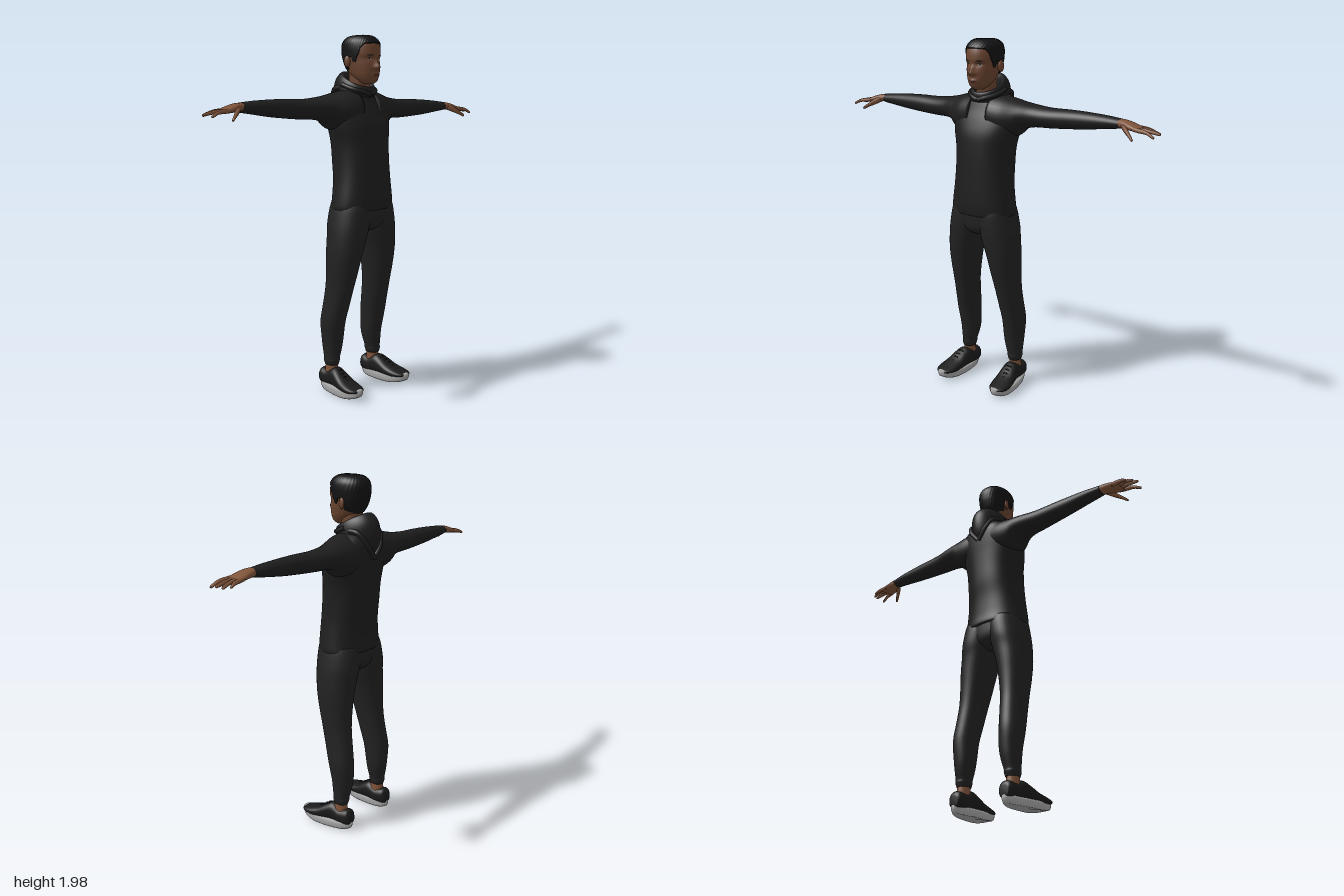
import * as THREE from 'three';

const mat = (name, color, side = THREE.FrontSide) => {
  const m = new THREE.MeshStandardMaterial({ color, side });
  m.name = name;
  return m;
};

// Catmull-Rom sample of a table of rows; t is measured in rows
function sample(rows, t) {
  const n = rows.length - 1, i = Math.min(Math.max(Math.floor(t), 0), n - 1), f = t - i;
  const r = (k) => rows[Math.min(Math.max(k, 0), n)];
  return rows[i].map((p1, c) => {
    const p0 = r(i - 1)[c], p2 = r(i + 1)[c], p3 = r(i + 2)[c];
    return p1 + 0.5 * f * (p2 - p0 + f * (2 * p0 - 5 * p1 + 4 * p2 - p3 + f * (3 * (p1 - p2) + p3 - p0)));
  });
}

// Skin closed rings of points [x, y, z] into one smooth surface
function skinRings(rings, cap = true) {
  const n = rings[0].length, pos = rings.flat(2), index = [];
  for (let i = 0; i < rings.length - 1; i++)
    for (let j = 0; j < n; j++) {
      const a = i * n + j, b = i * n + (j + 1) % n;
      index.push(a, b, b + n, a, b + n, a + n);
    }
  if (cap) [0, rings.length - 1].forEach((r) => {
    const c = pos.length / 3, ring = rings[r];
    for (let k = 0; k < 3; k++) pos.push(ring.reduce((s, p) => s + p[k], 0) / n);
    for (let j = 0; j < n; j++) {
      const a = r * n + j, b = r * n + (j + 1) % n;
      if (r) index.push(a, b, c); else index.push(b, a, c);
    }
  });
  const g = new THREE.BufferGeometry();
  g.setAttribute('position', new THREE.Float32BufferAttribute(pos, 3));
  g.setIndex(index);
  g.computeVertexNormals();
  return g;
}

const power = (v, p) => Math.sign(v) * Math.abs(v) ** p;

// Loft rounded sections along an axis.
// Rows: x [x, top, bottom, front, back], y [y, x0, x1, front, back], z [z, x0, x1, top, bottom]
function loft(axis, rows, { seg = 32, steps = 4, p = 0.9 } = {}) {
  const rings = [], count = (rows.length - 1) * steps;
  for (let i = 0; i <= count; i++) {
    const [v, a0, a1, b0, b1] = sample(rows, i / steps), ring = [];
    const ca = (a0 + a1) / 2, ra = Math.abs(a1 - a0) / 2, cb = (b0 + b1) / 2, rb = Math.abs(b0 - b1) / 2;
    for (let j = 0; j < seg; j++) {
      const t = (j / seg) * Math.PI * 2, s = power(Math.sin(t), p), c = power(Math.cos(t), p);
      if (axis === 'x') ring.push([v, ca + ra * c, cb + rb * s]);
      else if (axis === 'y') ring.push([ca + ra * s, v, cb + rb * c]);
      else ring.push([ca - ra * s, cb + rb * c, v]);
    }
    rings.push(ring);
  }
  return skinRings(rings);
}

// Tapering digit along x through points [x, y, z, radius]
const digit = (pts) => loft('x', pts.map(([x, y, z, r]) => [x, y + r, y - r, z + r, z - r]), { seg: 12, p: 1 });

function mirrored(g) {
  const m = g.clone().scale(-1, 1, 1), ix = m.index;
  for (let i = 0; i < ix.count; i += 3) {
    const a = ix.getX(i);
    ix.setX(i, ix.getX(i + 1));
    ix.setX(i + 1, a);
  }
  return m;
}

// Head sections: y, half width, front z, back z
const HEAD = [
  [1.718, 0.025, 0.082, 0.02], [1.735, 0.048, 0.1, 0], [1.76, 0.064, 0.108, -0.04],
  [1.785, 0.073, 0.112, -0.07], [1.815, 0.08, 0.112, -0.092], [1.85, 0.085, 0.108, -0.106],
  [1.875, 0.087, 0.114, -0.112], [1.91, 0.088, 0.111, -0.114], [1.94, 0.083, 0.1, -0.106],
  [1.962, 0.067, 0.078, -0.086], [1.974, 0.043, 0.05, -0.056], [1.979, 0, 0, -0.004],
];
const bell = (v, w) => Math.exp(-((v / w) ** 2));

function headPoint(a, t, grow = 0) {
  const [y, hx, zf, zb] = sample(HEAD, t), c = Math.cos(a);
  const x = (Math.max(hx, 0) + grow) * power(Math.sin(a), 0.85);
  let z = (zf + zb) / 2 + ((zf - zb) / 2 + grow) * c;
  if (c > 0) {
    const d = y - 1.805, noseUp = d > 0 ? bell(d, 0.035) : bell(d, 0.011);
    z += 0.028 * noseUp * bell(x, 0.012 + 0.006 * bell(d, 0.012));
    z += 0.008 * bell(y - 1.765, 0.011) * bell(x, 0.026);
    z -= 0.007 * bell(y - 1.852, 0.012) * bell(Math.abs(x) - 0.036, 0.018);
  }
  return [x, y + grow * t / 11, z];
}

// Thin rounded patch lying on the face
function facePatch(a0, t0, wa, wt, lift = 0.0015) {
  const rings = [1, 0.66, 0.33, 0].map((s) => Array.from({ length: 20 }, (_, j) => {
    const q = (j / 20) * Math.PI * 2;
    const [x, y, z] = headPoint(a0 + wa * s * Math.cos(q), t0 + wt * s * Math.sin(q));
    return [x, y, z + lift];
  }));
  return skinRings(rings, false);
}

export function createModel() {
  const model = new THREE.Group();
  const face = mat('face skin', 0x6b4530), hand = mat('hand skin', 0x80543a), hair = mat('hair', 0x131315);
  const top = mat('sweatshirt black', 0x1e1e1f, THREE.DoubleSide), pants = mat('trouser black', 0x222223);
  const shoe = mat('shoe black', 0x1b1b1c), sole = mat('sole grey', 0xa6a6a6);
  const lip = mat('lips', 0x5a3229), white = mat('eye white', 0x8c8078), dark = mat('iris', 0x140d0a);
  const add = (name, g, m) => {
    const mesh = new THREE.Mesh(g, m);
    mesh.name = name;
    model.add(mesh);
  };
  const pair = (name, g, m) => {
    add(name + 'Left', g, m);
    add(name + 'Right', mirrored(g), m);
  };

  // Head and neck
  const N = 112, angles = Array.from({ length: N }, (_, j) => (j / N) * Math.PI * 2);
  add('head', skinRings(Array.from({ length: 89 }, (_, i) => angles.map((a) => headPoint(a, i / 8)))), face);
  add('neck', loft('y', [[1.62, -0.06, 0.06, 0.03, -0.09], [1.7, -0.054, 0.054, 0.04, -0.075],
    [1.76, -0.055, 0.055, 0.04, -0.07], [1.81, -0.055, 0.055, 0.03, -0.07]]), face);
  pair('ear', new THREE.SphereGeometry(1, 16, 12).scale(0.011, 0.031, 0.019)
    .rotateY(-0.35).translate(0.091, 1.838, -0.018), face);

  // Cropped hair, cut along a hairline of [angle, head row]
  const LINE = [[0, 7.75], [0.7, 7.6], [0.95, 6.9], [1.18, 5.2], [1.25, 4.5], [1.4, 4.5],
    [1.5, 5.5], [1.78, 5.3], [1.95, 3.5], [3.15, 2.7]];
  const hairline = (a) => {
    const q = Math.min(a, Math.PI * 2 - a), k = LINE.findIndex((l) => l[0] >= q) || 1;
    const [a0, t0] = LINE[k - 1], [a1, t1] = LINE[k];
    return t0 + (t1 - t0) * (q - a0) / (a1 - a0);
  };
  add('hair', skinRings(Array.from({ length: 41 }, (_, i) => angles.map((a, j) => {
    const s = Math.max(i - 1, 0) / 39, t = hairline(a) * (1 - s) + 11 * s;
    const curl = 0.001 * Math.sin(j * 1.9 + i * 0.7) * Math.sin(i * 1.3);
    return headPoint(a, t, i ? (0.0045 + curl) * (1 - s ** 8) : -0.001);
  })), false), hair);

  // Facial details
  pair('eyeWhite', facePatch(0.385, 5.02, 0.13, 0.13), white);
  pair('iris', facePatch(0.385, 5.02, 0.055, 0.13, 0.0025), dark);
  pair('eyelid', facePatch(0.385, 5.17, 0.16, 0.07, 0.003), hair);
  pair('eyebrow', facePatch(0.39, 5.8, 0.2, 0.14), hair);
  add('upperLip', facePatch(0, 2.36, 0.25, 0.14), lip);
  add('lowerLip', facePatch(0, 2.06, 0.22, 0.17), lip);
  add('mouthLine', facePatch(0, 2.23, 0.25, 0.03, 0.003), dark);

  // Sweatshirt body with hem
  const body = [[1.035, 0.18, 0.13, -0.125], [1.045, 0.19, 0.138, -0.133], [1.1, 0.184, 0.141, -0.128],
    [1.2, 0.171, 0.137, -0.13], [1.3, 0.166, 0.132, -0.143], [1.4, 0.17, 0.125, -0.15],
    [1.48, 0.188, 0.115, -0.156], [1.55, 0.2, 0.092, -0.163], [1.61, 0.185, 0.066, -0.167],
    [1.65, 0.155, 0.05, -0.16], [1.68, 0.11, 0.035, -0.14], [1.695, 0.07, 0.02, -0.11]];
  add('sweatshirtBody', loft('y', body.map(([y, h, f, b]) => [y, -h, h, f, b]), { seg: 56, p: 0.88 }), top);
  pair('sleeve', loft('x', [[0.06, 1.69, 1.47, 0.085, -0.155], [0.13, 1.68, 1.46, 0.075, -0.16],
    [0.19, 1.665, 1.475, 0.05, -0.157], [0.23, 1.655, 1.512, 0.03, -0.152], [0.29, 1.645, 1.527, 0.008, -0.145],
    [0.38, 1.637, 1.53, -0.005, -0.132], [0.5, 1.637, 1.538, -0.015, -0.122], [0.6, 1.634, 1.547, -0.022, -0.115],
    [0.7, 1.628, 1.56, -0.027, -0.108], [0.77, 1.621, 1.569, -0.03, -0.1], [0.788, 1.618, 1.573, -0.032, -0.099]],
  { p: 1 }), top);

  // Lowered hood: half width, front z, back z, front y, back y
  const hood = [[0.1, 0.05, -0.15, 1.645, 1.55], [0.112, 0.066, -0.18, 1.66, 1.62], [0.112, 0.07, -0.187, 1.675, 1.69],
    [0.106, 0.068, -0.172, 1.695, 1.75], [0.092, 0.058, -0.128, 1.702, 1.79], [0.07, 0.045, -0.1, 1.688, 1.765],
    [0.056, 0.03, -0.08, 1.65, 1.68]];
  add('hood', skinRings(Array.from({ length: 25 }, (_, i) => {
    const [h, zf, zb, yf, yb] = sample(hood, i / 4);
    return Array.from({ length: 48 }, (_, j) => {
      const a = (j / 48) * Math.PI * 2, f = (1 + Math.cos(a)) / 2;
      return [h * Math.sin(a) * (0.82 + 0.18 * f), yb + (yf - yb) * f, zb + (zf - zb) * f];
    });
  }), false), top);
  const v3 = (...p) => new THREE.Vector3(...p);
  pair('hoodFold', new THREE.TubeGeometry(new THREE.CatmullRomCurve3([v3(0.09, 1.7, -0.07), v3(0.085, 1.69, -0.125),
    v3(0.05, 1.62, -0.165), v3(0, 1.555, -0.165)]), 24, 0.014, 10), top);
  pair('collarFold', new THREE.TubeGeometry(new THREE.CatmullRomCurve3([v3(0.1, 1.715, -0.05), v3(0.085, 1.69, 0.02),
    v3(0.04, 1.675, 0.06), v3(0, 1.662, 0.068)]), 20, 0.012, 10), top);

  // Hands
  pair('palm', loft('x', [[0.76, 1.617, 1.577, -0.035, -0.095], [0.8, 1.618, 1.575, -0.026, -0.096],
    [0.84, 1.609, 1.57, -0.014, -0.1], [0.875, 1.597, 1.567, -0.009, -0.101], [0.9, 1.587, 1.567, -0.013, -0.098]],
  { seg: 20, p: 0.85 }), hand);
  const fingers = [[-0.09, 0.957, -0.103, 1.562], [-0.067, 0.986, -0.082, 1.56],
    [-0.043, 0.998, -0.052, 1.564], [-0.021, 0.988, -0.004, 1.555]];
  fingers.forEach(([z, tx, tz, ty], k) => pair('finger' + (k + 1), digit([[0.865, 1.582, z, 0.011],
    [0.9, 1.578, z + (tz - z) * 0.3, 0.0115], [(0.9 + tx) / 2, 1.573, z + (tz - z) * 0.65, 0.0095],
    [tx - 0.008, ty + 0.001, tz, 0.0075], [tx, ty, tz, 0.003]]), hand));
  pair('thumb', digit([[0.8, 1.59, -0.042, 0.016], [0.83, 1.575, -0.018, 0.017], [0.86, 1.556, 0.006, 0.012],
    [0.882, 1.54, 0.021, 0.009], [0.89, 1.535, 0.025, 0.004]]), hand);

  // Trousers
  add('trouserSeat', loft('y', [[0.905, -0.04, 0.04, 0.04, -0.06], [0.93, -0.1, 0.1, 0.095, -0.095],
    [0.97, -0.165, 0.165, 0.122, -0.118], [1.07, -0.182, 0.182, 0.13, -0.122]]), pants);
  pair('trouserLeg', loft('y', [[0.15, 0.131, 0.2, -0.032, -0.113], [0.175, 0.125, 0.206, -0.025, -0.12],
    [0.19, 0.124, 0.205, -0.026, -0.119], [0.24, 0.11, 0.208, -0.019, -0.13], [0.3, 0.1, 0.213, -0.012, -0.138],
    [0.4, 0.098, 0.222, 0.008, -0.142], [0.5, 0.09, 0.216, 0.035, -0.128], [0.6, 0.08, 0.212, 0.061, -0.114],
    [0.7, 0.063, 0.215, 0.086, -0.111], [0.8, 0.043, 0.217, 0.106, -0.114], [0.88, 0.019, 0.212, 0.118, -0.118],
    [0.95, 0.002, 0.204, 0.125, -0.127], [1.03, -0.015, 0.19, 0.126, -0.124], [1.07, -0.01, 0.18, 0.12, -0.115]]), pants);
  pair('ankle', loft('y', [[0.08, 0.13, 0.205, -0.025, -0.115], [0.13, 0.134, 0.2, -0.034, -0.11],
    [0.18, 0.136, 0.196, -0.04, -0.105]], { p: 1 }), hand);

  // Shoes with grey soles and laces
  pair('shoeUpper', loft('z', [[-0.148, 0.14, 0.196, 0.095, 0.04], [-0.13, 0.127, 0.209, 0.122, 0.03],
    [-0.08, 0.122, 0.214, 0.118, 0.03], [-0.03, 0.123, 0.217, 0.14, 0.03], [0.01, 0.124, 0.227, 0.126, 0.03],
    [0.06, 0.125, 0.239, 0.097, 0.03], [0.11, 0.13, 0.246, 0.08, 0.032], [0.15, 0.142, 0.24, 0.069, 0.04],
    [0.172, 0.158, 0.224, 0.063, 0.045], [0.18, 0.175, 0.207, 0.058, 0.048]], { p: 0.85 }), shoe);
  const soleRings = [[0, 0.88], [0.004, 0.95], [0.018, 1], [0.034, 1], [0.044, 0.96]].map(([y, s]) =>
    Array.from({ length: 40 }, (_, j) => {
      const a = (j / 40) * Math.PI * 2, c = Math.cos(a), z = 0.017 + 0.169 * c * s;
      const spring = 0.022 * Math.max(0, (z - 0.06) / 0.12) ** 2 + 0.01 * Math.max(0, (-0.08 - z) / 0.07) ** 2;
      return [0.18 + 0.011 * c + (0.053 + 0.007 * c) * power(Math.sin(a), 0.85) * s, y + spring, z];
    }));
  pair('shoeSole', skinRings(soleRings), sole);
  for (let k = 0; k < 4; k++) {
    const z = 0.005 + k * 0.022, y = 0.132 - k * 0.0135, x = 0.175 + k * 0.003;
    pair('lace' + (k + 1), new THREE.TubeGeometry(new THREE.CatmullRomCurve3([v3(x - 0.03, y - 0.014, z - 0.003),
      v3(x, y, z), v3(x + 0.03, y - 0.014, z - 0.003)]), 8, 0.004, 6), shoe);
  }
  return model;
}
